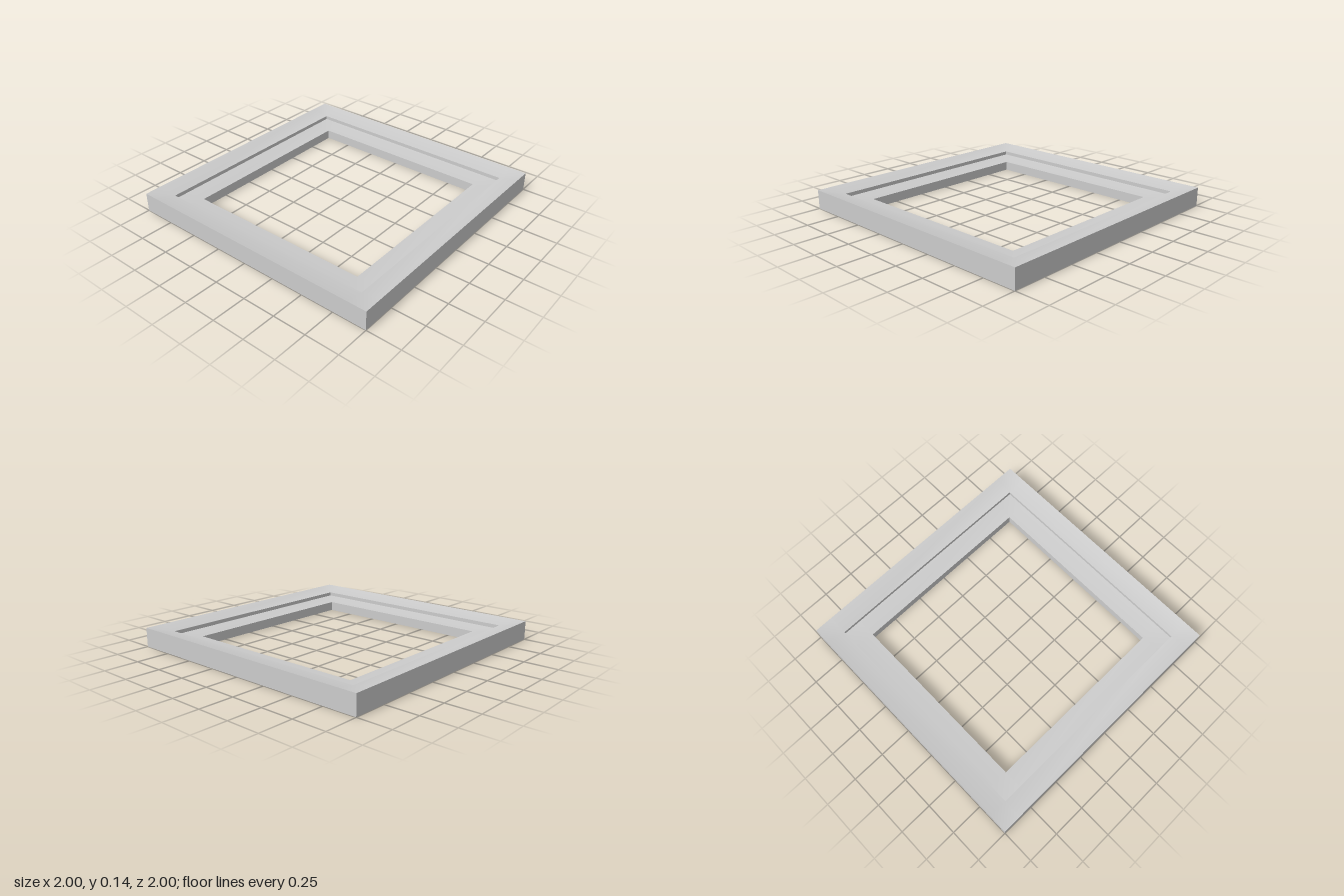
import * as THREE from 'three';
import { toCreasedNormals } from 'three/addons/utils/BufferGeometryUtils.js';

// Moulding cross-section: [distance from centre, height], outer face first
const PROFILE = [
  [1, 0], [1, 0.143],          // outer wall
  [0.857, 0.114],              // outer band slopes inward
  [0.857, 0.086],              // small step
  [0.714, 0.071], [0.714, 0],  // inner lip and opening wall
];

// Sweeps a closed profile around a square, with mitred corners
function squareFrame(profile) {
  const positions = [];
  for (let side = 0; side < 4; side++) {
    const point = (t, [r, y]) => {
      let x = t, z = r;
      for (let k = 0; k < side; k++) [x, z] = [z, -x];
      return [x, y, z];
    };
    const tri = (...corners) => corners.forEach((c) => positions.push(...point(...c)));

    profile.forEach((a, i) => {
      const b = profile[(i + 1) % profile.length];
      const m = Math.min(a[0], b[0]);
      // straight run
      tri([-m, a], [m, a], [m, b]);
      tri([-m, a], [m, b], [-m, b]);
      // mitre triangles at both ends
      if (a[0] > m) {
        tri([m, a], [a[0], a], [m, b]);
        tri([-a[0], a], [-m, a], [-m, b]);
      }
      if (b[0] > m) {
        tri([m, a], [b[0], b], [m, b]);
        tri([-m, a], [-m, b], [-b[0], b]);
      }
    });
  }
  const geometry = new THREE.BufferGeometry();
  geometry.setAttribute('position', new THREE.Float32BufferAttribute(positions, 3));
  return toCreasedNormals(geometry, 0.4);
}

export function createModel() {
  const group = new THREE.Group();
  group.name = 'squareFrame';
  const frame = new THREE.Mesh(
    squareFrame(PROFILE),
    new THREE.MeshStandardMaterial({ color: 0xcccccc }),
  );
  frame.name = 'steppedFrame';
  group.add(frame);
  return group;
}
